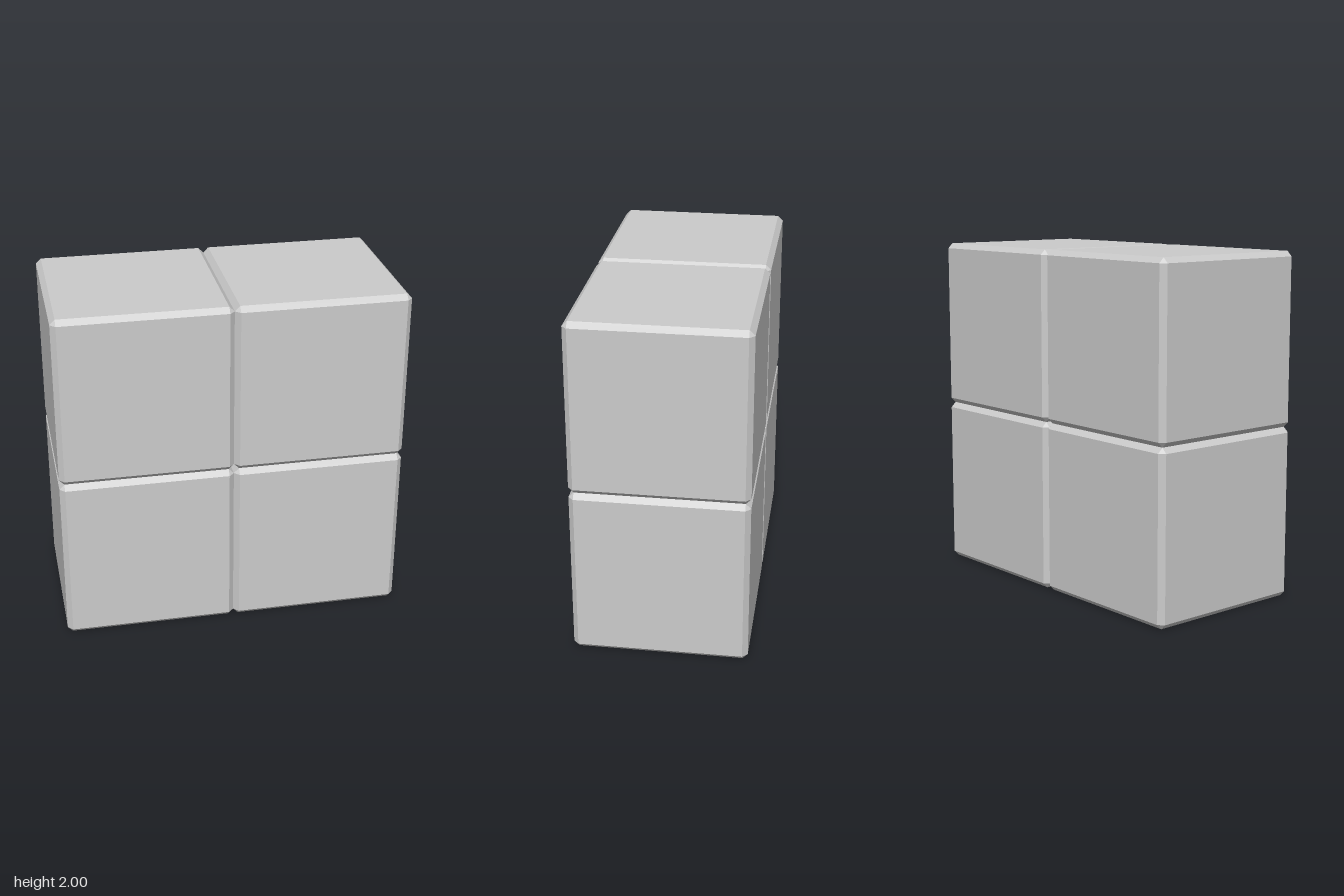
import * as THREE from 'three';
import { ConvexGeometry } from 'three/addons/geometries/ConvexGeometry.js';

const HALF = 0.5;     // half the side of one cube
const BEVEL = 0.03;   // width cut from every edge

// Cube with flat chamfered edges and triangular corners
function chamferedCube(half, bevel) {
  const inner = half - bevel;
  const points = [];
  for (const sx of [-1, 1]) for (const sy of [-1, 1]) for (const sz of [-1, 1]) {
    points.push(
      new THREE.Vector3(sx * half, sy * inner, sz * inner),
      new THREE.Vector3(sx * inner, sy * half, sz * inner),
      new THREE.Vector3(sx * inner, sy * inner, sz * half)
    );
  }
  return new ConvexGeometry(points);
}

export function createModel() {
  const model = new THREE.Group();
  model.name = 'blockOfFourCubes';
  const material = new THREE.MeshStandardMaterial({ color: 0xcccccc, flatShading: true });
  const geometry = chamferedCube(HALF, BEVEL);

  // Two by two cubes standing side by side
  for (const [row, y] of [['lower', HALF], ['upper', 3 * HALF]]) {
    for (const [side, x] of [['Right', -HALF], ['Left', HALF]]) {
      const cube = new THREE.Mesh(geometry, material);
      cube.name = `${row}${side}Cube`;
      cube.position.set(x, y, 0);
      model.add(cube);
    }
  }
  return model;
}
